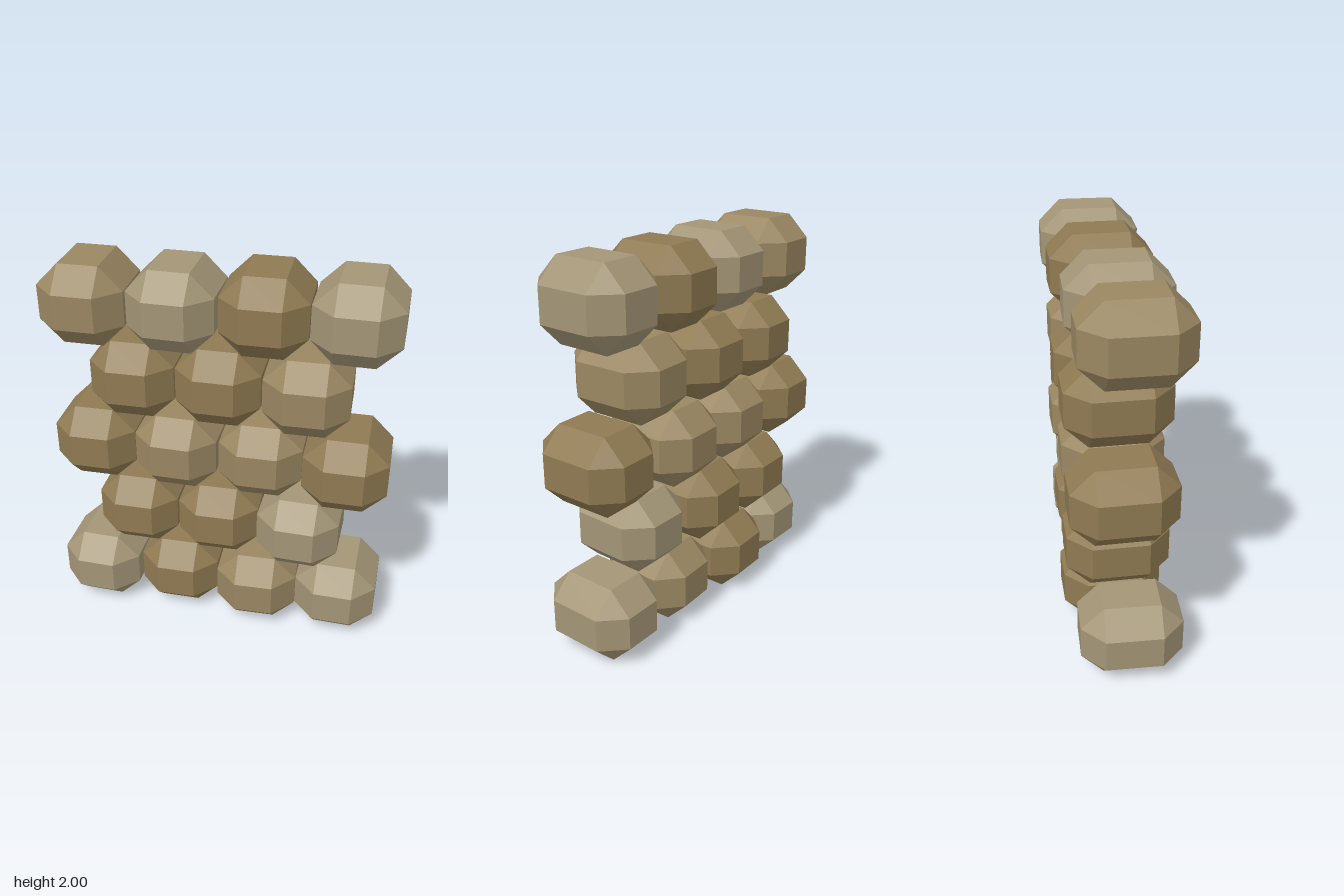
import * as THREE from 'three';
import { ConvexGeometry } from 'three/addons/geometries/ConvexGeometry.js';

// Box with every edge cut at 45 degrees and a triangle at each corner
function chamferedBox(hx, hy, hz, c) {
  const points = [];
  for (const sx of [-1, 1]) for (const sy of [-1, 1]) for (const sz of [-1, 1]) {
    points.push(
      new THREE.Vector3(sx * hx, sy * (hy - c), sz * (hz - c)),
      new THREE.Vector3(sx * (hx - c), sy * hy, sz * (hz - c)),
      new THREE.Vector3(sx * (hx - c), sy * (hy - c), sz * hz)
    );
  }
  return new ConvexGeometry(points);
}

// Rows from the ground up; each bag is [shade, z shift, yaw]
const ROWS = [
  [['light', 0.02, -0.03], ['dark', -0.02, 0.01], ['mid', 0.027, 0.03], ['light', 0.015, -0.02]],
  [['dark', -0.022, 0], ['dark', -0.02, 0.02], ['light', 0.025, -0.03]],
  [['dark', -0.025, 0.01], ['mid', -0.015, -0.015], ['mid', -0.022, 0.01], ['dark', 0.025, 0]],
  [['dark', -0.022, 0.01], ['dark', -0.022, 0], ['mid', 0, 0.02]],
  [['mid', 0.022, 0], ['light', 0.015, -0.02], ['dark', -0.012, 0.01], ['light', -0.014, -0.02]],
];

export function createModel() {
  const model = new THREE.Group();
  model.name = 'sandbagWall';

  const shade = (color) => new THREE.MeshStandardMaterial({ color, flatShading: true });
  const shades = { light: shade(0xa39576), mid: shade(0x9a8762), dark: shade(0x8f7a52) };
  const bagGeometry = chamferedBox(0.216, 0.2025, 0.257, 0.115);

  // Staggered rows of four and three bags
  ROWS.forEach((bags, r) => {
    const row = new THREE.Group();
    row.name = `row${r + 1}`;
    row.position.y = 0.2025 + r * 0.39875;
    bags.forEach(([tone, z, yaw], i) => {
      const bag = new THREE.Mesh(bagGeometry, shades[tone]);
      bag.name = `sandbag${i + 1}`;
      bag.position.set((i - (bags.length - 1) / 2) * 0.44, 0, z);
      bag.rotation.y = yaw;
      row.add(bag);
    });
    model.add(row);
  });
  return model;
}
